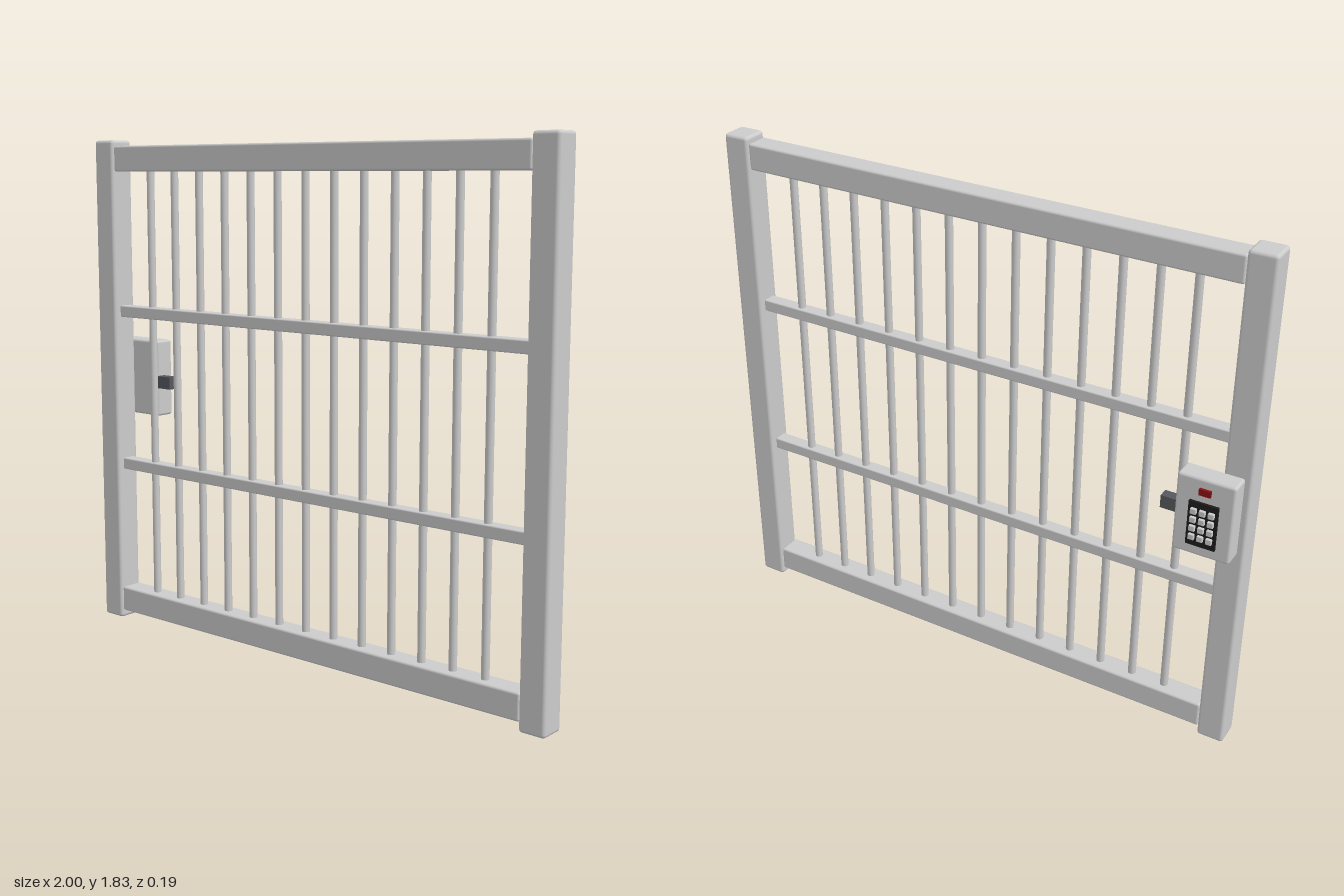
import * as THREE from 'three';
import { RoundedBoxGeometry } from 'three/addons/geometries/RoundedBoxGeometry.js';

const mat = (color) => new THREE.MeshStandardMaterial({ color });

export function createModel() {
  const gate = new THREE.Group();
  gate.name = 'barredGate';
  const grey = mat(0xcccccc);
  const steel = mat(0x55585c);
  const black = mat(0x1c1c1c);
  const red = mat(0x8a1010);
  const midZ = 0.046;

  function add(parent, name, geometry, material, x, y, z) {
    const mesh = new THREE.Mesh(geometry, material);
    mesh.name = name;
    mesh.position.set(x, y, z);
    parent.add(mesh);
    return mesh;
  }
  const rounded = (w, h, d, r) => new RoundedBoxGeometry(w, h, d, 2, r);

  // Side posts
  for (const side of [-1, 1]) {
    add(gate, side > 0 ? 'leftPost' : 'rightPost', rounded(0.096, 1.83, 0.096, 0.012), grey, side * 0.952, 0.915, midZ);
  }

  // Heavy top and bottom rails
  add(gate, 'topRail', rounded(1.806, 0.094, 0.084, 0.008), grey, 0, 1.762, midZ);
  add(gate, 'bottomRail', rounded(1.806, 0.094, 0.084, 0.008), grey, 0, 0.077, midZ);

  // Slim cross rails
  for (const y of [1.195, 0.61]) {
    add(gate, 'crossRail', rounded(1.806, 0.043, 0.05, 0.005), grey, 0, y, midZ);
  }

  // Vertical bars
  const barGeometry = new THREE.CylinderGeometry(0.014, 0.014, 1.62, 16);
  for (let i = -6; i <= 6; i++) {
    add(gate, 'bar', barGeometry, grey, i * 0.125, 0.92, midZ);
  }

  // Lock box on the back of the right post
  const lock = new THREE.Group();
  lock.name = 'keypadLock';
  lock.position.set(-0.879, 0.94, 0);
  gate.add(lock);
  add(lock, 'lockCase', rounded(0.198, 0.288, 0.074, 0.01), grey, 0, 0, -0.039);
  add(lock, 'latchBolt', new THREE.BoxGeometry(0.09, 0.046, 0.036), steel, 0.12, -0.012, -0.017);
  add(lock, 'keypadPanel', new THREE.BoxGeometry(0.1, 0.162, 0.012), black, 0, -0.021, -0.079);
  add(lock, 'statusLight', new THREE.BoxGeometry(0.04, 0.022, 0.014), red, 0, 0.1, -0.079);

  // Keypad buttons, three columns by four rows
  const keyGeometry = rounded(0.021, 0.021, 0.014, 0.003);
  for (let row = 0; row < 4; row++) {
    for (let col = -1; col <= 1; col++) {
      add(lock, 'keypadButton', keyGeometry, grey, col * 0.03, 0.028 - row * 0.032, -0.088);
    }
  }
  return gate;
}
